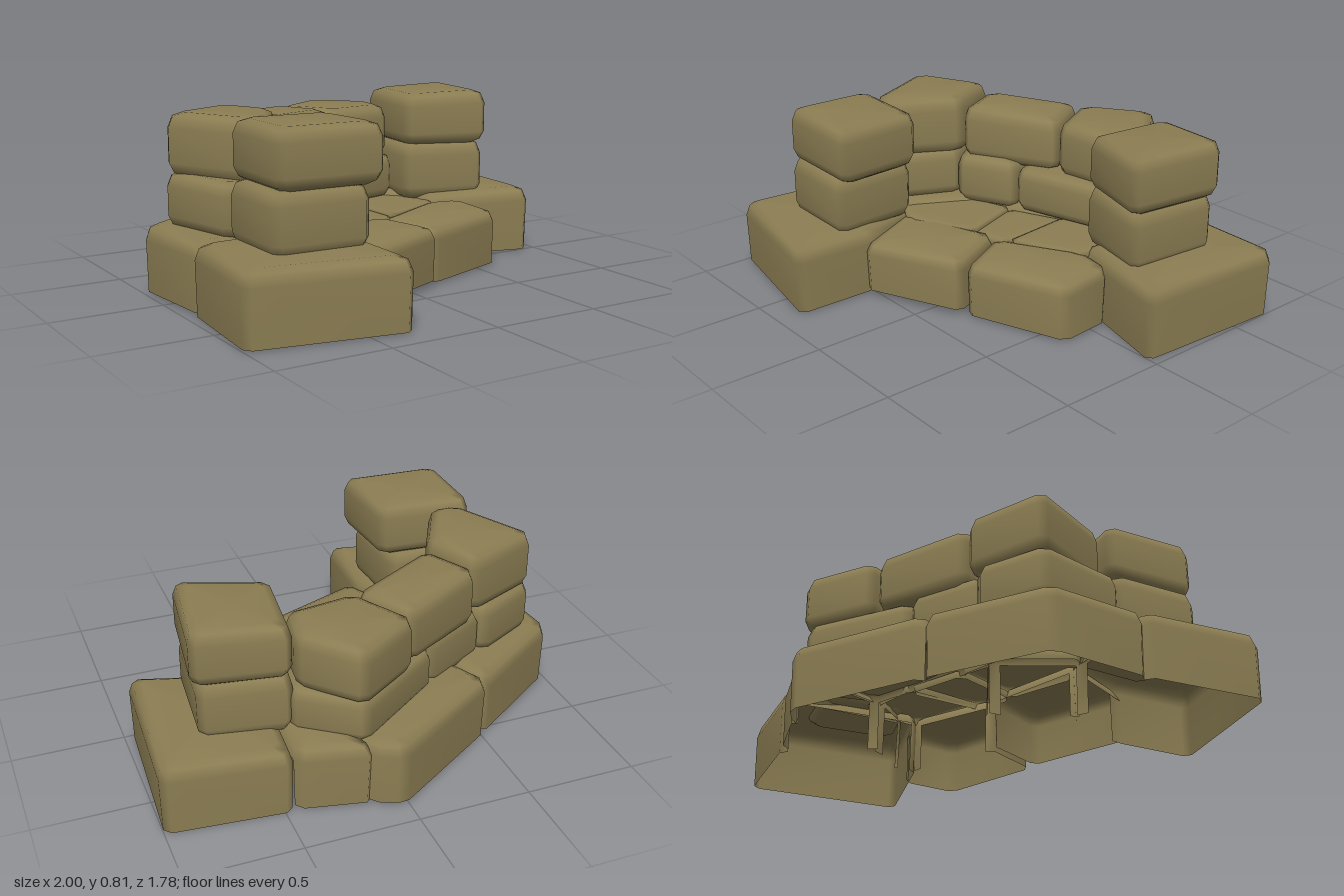
import * as THREE from 'three';

const stone = new THREE.MeshStandardMaterial({ color: 0x8c7e53, side: THREE.DoubleSide });
stone.name = 'mossy stone';

// Moves every edge of a footprint inwards by d
function inset(poly, d) {
  const n = poly.length;
  const dir = (a, b) => new THREE.Vector2(b[0] - a[0], b[1] - a[1]).normalize();
  return poly.map((p, i) => {
    const u = dir(poly[(i + n - 1) % n], p), v = dir(p, poly[(i + 1) % n]);
    const k = d / (1 + u.dot(v));
    return [p[0] - (u.y + v.y) * k, p[1] + (u.x + v.x) * k];
  });
}

// Cuts every corner, giving two points per corner
function chamfer(poly, r) {
  const n = poly.length;
  const toward = (p, q) => {
    const t = Math.min(0.4, r / Math.hypot(q[0] - p[0], q[1] - p[1]));
    return [p[0] + (q[0] - p[0]) * t, p[1] + (q[1] - p[1]) * t];
  };
  return poly.flatMap((p, i) => [toward(p, poly[(i + n - 1) % n]), toward(p, poly[(i + 1) % n])]);
}

// Worn block on an [x, z] footprint; hollow leaves the bottom open,
// open lists the footprint edges without a wall, slope tilts the top
function block(name, poly, y0, y1, { hollow = false, open = [], slope = [0, 0], r = 0.03 } = {}) {
  const cx = poly.reduce((s, p) => s + p[0], 0) / poly.length;
  const cz = poly.reduce((s, p) => s + p[1], 0) / poly.length;
  const h = y1 - y0;
  const rings = hollow
    ? [[0, 0.004], [0.78, 0], [0.94, 0.014], [1, 0.05]]
    : [[0, 0.04], [0.07, 0.014], [0.22, 0], [0.76, 0], [0.94, 0.014], [1, 0.05]];
  const pos = [], idx = [], n = poly.length * 2;
  const put = (x, z, t) =>
    pos.push(x, y0 + t * (h + (x - cx) * slope[0] + (z - cz) * slope[1]), z);
  for (const [t, d] of rings) for (const [x, z] of chamfer(inset(poly, d), r)) put(x, z, t);
  for (let k = 0; k < rings.length - 1; k++) {
    for (let i = 0; i < n; i++) {
      if (k === 0 && i % 2 === 1 && open.includes((i - 1) / 2)) continue;
      const j = (i + 1) % n, a = k * n + i, b = k * n + j;
      idx.push(a, b + n, b, a, a + n, b + n);
    }
  }
  // Caps
  const last = (rings.length - 1) * n, top = pos.length / 3;
  put(cx, cz, 1);
  for (let i = 0; i < n; i++) idx.push(top, last + (i + 1) % n, last + i);
  if (!hollow) {
    put(cx, cz, 0);
    for (let i = 0; i < n; i++) idx.push(top + 1, i, (i + 1) % n);
  }
  const g = new THREE.BufferGeometry();
  g.setAttribute('position', new THREE.Float32BufferAttribute(pos, 3));
  g.setIndex(idx);
  g.computeVertexNormals();
  const mesh = new THREE.Mesh(g, stone);
  mesh.name = name;
  return mesh;
}

export function createModel() {
  const model = new THREE.Group();
  model.name = 'ruinedStoneRing';
  const add = (...args) => model.add(block(...args));

  // Foundation ring, hollow underneath
  add('rightPillarBase', [[-0.96, 0.22], [-0.42, 0.2], [-0.31, 0.5], [-0.315, 0.895], [-1.003, 0.77]],
    0.005, 0.31, { hollow: true, open: [0, 1] });
  add('leftPillarBase', [[0.46, -0.775], [1.003, -0.725], [0.96, 0.01], [0.41, -0.13]],
    0, 0.31, { hollow: true, open: [3], slope: [0.03, 0] });
  add('backBaseRight', [[-0.99, -0.23], [-0.515, -0.555], [-0.32, -0.12], [-0.5, 0.22], [-0.95, 0.235]],
    0.01, 0.305, { hollow: true, open: [1, 2, 3] });
  add('backBaseMiddle', [[-0.52, -0.555], [0.02, -0.9], [0.15, -0.84], [0.3, -0.4], [-0.32, -0.12]],
    0.01, 0.305, { hollow: true, open: [2, 3, 4] });
  add('backBaseLeft', [[0.13, -0.845], [0.455, -0.775], [0.46, -0.18], [0.3, -0.36]],
    0.01, 0.305, { hollow: true, open: [1, 2, 3] });
  add('frontStepRight', [[-0.46, 0.2], [0.03, 0.06], [0.16, 0.36], [-0.3, 0.56]],
    0.03, 0.275, { hollow: true, open: [0, 3], slope: [0, -0.06] });
  add('frontStepLeft', [[0.03, 0.06], [0.42, -0.13], [0.61, -0.1], [0.63, 0.17], [0.16, 0.34]],
    0.01, 0.27, { hollow: true, open: [0, 1], slope: [0, -0.06] });

  // Floor slabs inside the ring
  add('floorSlabRight', [[-0.56, 0.18], [-0.4, -0.12], [-0.16, -0.2], [-0.05, 0.12], [-0.36, 0.26]],
    0.24, 0.285, { hollow: true });
  add('floorSlabMiddle', [[-0.18, -0.2], [0.1, -0.32], [0.12, 0.06], [-0.06, 0.12]],
    0.23, 0.27, { hollow: true });
  add('floorSlabLeft', [[0.08, -0.32], [0.42, -0.4], [0.46, -0.1], [0.12, 0.06]],
    0.24, 0.28, { hollow: true });

  // Middle course
  add('wallMiddleRight', [[-0.9, -0.2], [-0.6, -0.36], [-0.42, -0.1], [-0.56, 0.21], [-0.8, 0.22]], 0.29, 0.53);
  add('wallMiddleCentre', [[-0.59, -0.32], [-0.27, -0.5], [-0.125, -0.2], [-0.4, -0.06]], 0.27, 0.51);
  add('wallMiddleLeft', [[-0.27, -0.5], [0.15, -0.8], [0.42, -0.6], [0.37, -0.34], [-0.13, -0.2]], 0.27, 0.485);
  add('rightPillarMiddle', [[-0.79, 0.21], [-0.38, 0.22], [-0.355, 0.635], [-0.79, 0.62]], 0.28, 0.56);
  add('leftPillarMiddle', [[0.4, -0.61], [0.79, -0.55], [0.75, -0.1], [0.35, -0.2]], 0.27, 0.555);

  // Top course
  add('wallTopRight', [[-0.895, -0.2], [-0.53, -0.365], [-0.405, -0.1], [-0.56, 0.2], [-0.7, 0.2]], 0.51, 0.79);
  add('wallTopCentre', [[-0.53, -0.37], [-0.13, -0.595], [0.025, -0.33], [-0.405, -0.1]],
    0.475, 0.74, { slope: [-0.04, 0] });
  add('wallTopLeft', [[-0.13, -0.615], [0.17, -0.815], [0.385, -0.58], [0.36, -0.37], [0.03, -0.32]], 0.46, 0.725);
  add('rightPillarTop', [[-0.77, 0.195], [-0.325, 0.225], [-0.295, 0.645], [-0.775, 0.625]], 0.55, 0.805);
  add('leftPillarTop', [[0.405, -0.625], [0.815, -0.56], [0.755, -0.08], [0.355, -0.2]],
    0.54, 0.795, { slope: [0.04, 0] });

  return model;
}
